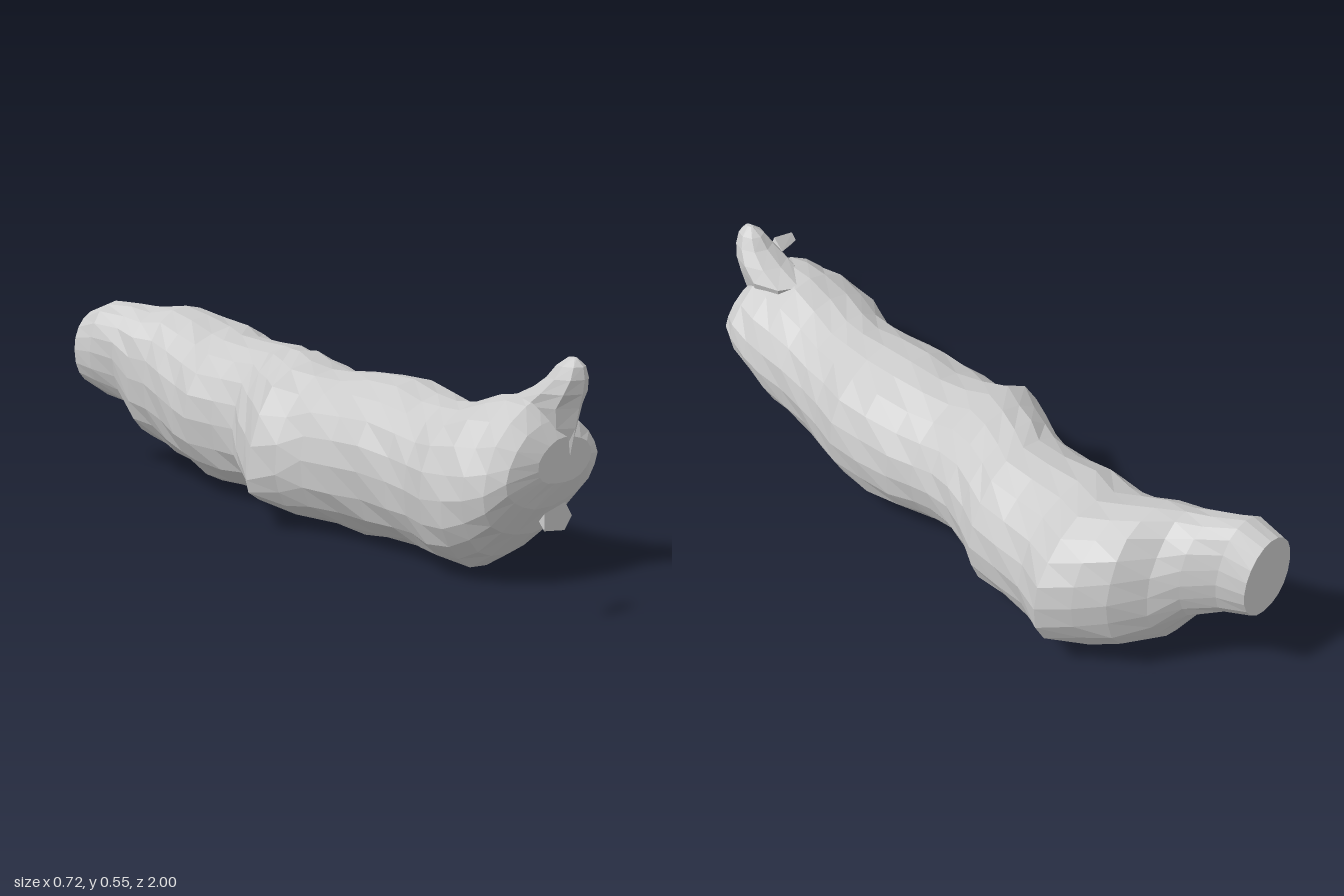
import * as THREE from 'three';
import { ConvexGeometry } from 'three/addons/geometries/ConvexGeometry.js';

const material = new THREE.MeshStandardMaterial({ color: 0xcccccc, flatShading: true });

// Skin a list of equal-length rings and close both ends
function loft(rings) {
  const n = rings[0].length, pos = [], index = [];
  rings.forEach(r => r.forEach(p => pos.push(p.x, p.y, p.z)));
  for (let i = 0; i < rings.length - 1; i++)
    for (let j = 0; j < n; j++) {
      const a = i * n + j, b = i * n + (j + 1) % n;
      index.push(a, b, b + n, a, b + n, a + n);
    }
  [rings[0], rings[rings.length - 1]].forEach((r, e) => {
    const c = r.reduce((s, p) => s.add(p), new THREE.Vector3()).divideScalar(n);
    const id = pos.length / 3, base = e * (rings.length - 1) * n;
    pos.push(c.x, c.y, c.z);
    for (let j = 0; j < n; j++) {
      const a = base + j, b = base + (j + 1) % n;
      if (e) index.push(id, a, b); else index.push(id, b, a);
    }
  });
  const g = new THREE.BufferGeometry();
  g.setAttribute('position', new THREE.Float32BufferAttribute(pos, 3));
  g.setIndex(index);
  const flat = g.toNonIndexed();
  flat.computeVertexNormals();
  return flat;
}

// Body stations: z, low-x edge, high-x edge, bottom, top,
// then optional: height of the low-x edge, x of the keel, slant exponent
const BODY = [
  [-1.00, -0.10, 0.08, 0.24, 0.46],
  [-0.93, -0.10, 0.10, 0.215, 0.49],
  [-0.86, -0.075, 0.15, 0.19, 0.485],
  [-0.80, -0.07, 0.19, 0.10, 0.48],
  [-0.74, -0.06, 0.27, 0.075, 0.485],
  [-0.67, -0.07, 0.315, 0.05, 0.465],
  [-0.59, -0.085, 0.358, 0.03, 0.44],
  [-0.50, -0.115, 0.315, 0.02, 0.43],
  [-0.40, -0.105, 0.295, 0.015, 0.425],
  [-0.31, -0.11, 0.285, 0.02, 0.425],
  [-0.25, -0.15, 0.255, 0.04, 0.43, 0.18],
  [-0.18, -0.19, 0.23, 0.06, 0.435, 0.15],
  [-0.10, -0.25, 0.215, 0.045, 0.425, 0.14],
  [-0.03, -0.215, 0.205, 0.02, 0.41, 0.16],
  [0.05, -0.20, 0.215, 0.008, 0.41],
  [0.15, -0.20, 0.225, 0.002, 0.42],
  [0.25, -0.20, 0.22, 0.005, 0.42],
  [0.35, -0.20, 0.18, 0.01, 0.40],
  [0.43, -0.215, 0.16, 0.015, 0.395, 0.20, -0.05],
  [0.52, -0.255, 0.145, 0.018, 0.41, 0.20, -0.08],
  [0.60, -0.265, 0.15, 0.022, 0.44, 0.21, -0.10, 1.12],
  [0.66, -0.26, 0.15, 0.06, 0.45, 0.22, -0.09, 1.2],
  [0.72, -0.25, 0.14, 0.12, 0.45, 0.24, -0.07, 1.2],
  [0.76, -0.215, 0.12, 0.19, 0.40, 0.27, -0.05, 1.1],
  [0.785, -0.13, 0.065, 0.25, 0.36, 0.29, -0.03],
];

// Each ring is four quarter curves between its side, top and keel points
function bodyRing([z, x0, x1, y0, y1, yLow, keel, k = 1], i) {
  const n = 20, mid = (y0 + y1) / 2, xm = (x0 + x1) / 2;
  return Array.from({ length: n }, (_, j) => {
    const t = j / n * Math.PI * 2, c = Math.cos(t), s = Math.sin(t);
    const cx = s > 0 ? xm : keel ?? xm;
    const cy = c > 0 ? mid : yLow ?? mid;
    const e = c < 0 && s < 0 ? 0.88 : k;
    // Slight lumps away from the extremes keep the skin irregular
    const lump = i === 0 || j % 5 === 0 ? 1 : 1 + 0.02 * Math.sin(i * 2.3 + j * 1.7);
    return new THREE.Vector3(
      cx + Math.sign(c) * Math.abs(c) ** e * Math.abs((c > 0 ? x1 : x0) - cx) * lump,
      cy + Math.sign(s) * Math.abs(s) ** e * Math.abs((s > 0 ? y1 : y0) - cy) * lump,
      z);
  });
}

// Horn stations: y, half width, back z, front z
const HORN = [
  [0.31, 0.015, 0.68, 0.785],
  [0.38, 0.055, 0.62, 0.80],
  [0.43, 0.07, 0.60, 0.81],
  [0.465, 0.064, 0.67, 0.82],
  [0.50, 0.048, 0.72, 0.825],
  [0.53, 0.032, 0.745, 0.82],
  [0.55, 0.006, 0.775, 0.80],
];

const hornRing = ([y, w, z0, z1]) => Array.from({ length: 8 }, (_, j) => {
  const t = j / 8 * Math.PI * 2;
  return new THREE.Vector3(-0.015 + w * Math.sin(t), y, (z0 + z1) / 2 + (z1 - z0) / 2 * Math.cos(t));
});

export function createModel() {
  const group = new THREE.Group();
  const add = (name, geometry) => {
    const mesh = new THREE.Mesh(geometry, material);
    mesh.name = name;
    group.add(mesh);
  };

  add('body', loft(BODY.map(bodyRing)));
  add('horn', loft(HORN.map(hornRing)));

  // Loose chip with a flat front
  add('chip', new ConvexGeometry([
    [-0.36, 0.23, 1], [-0.36, 0.27, 1], [-0.29, 0.285, 1], [-0.265, 0.25, 1],
    [-0.29, 0.22, 1], [-0.29, 0.25, 0.968], [-0.36, 0.25, 0.984],
  ].map(p => new THREE.Vector3(...p))));

  return group;
}
